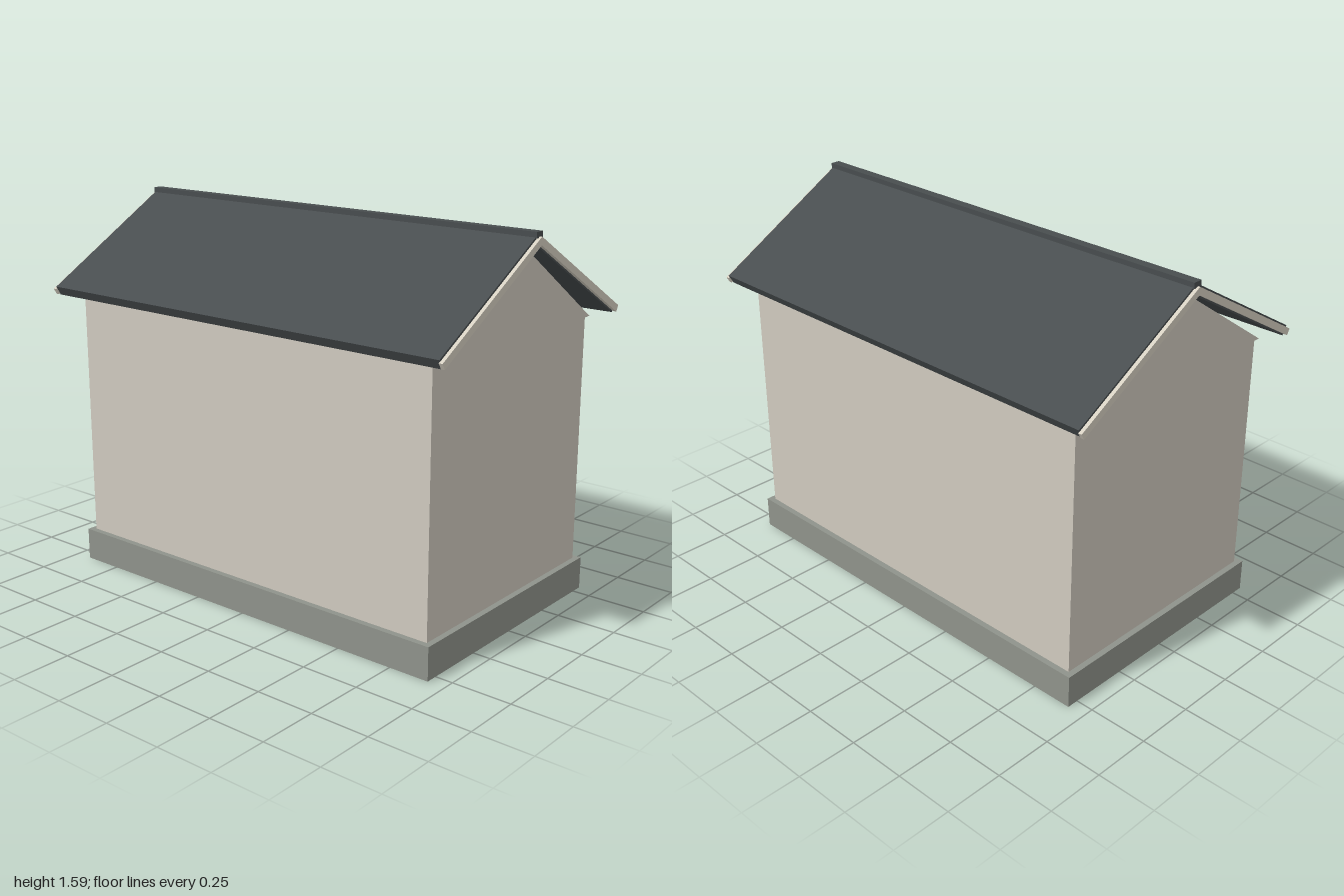
import * as THREE from 'three';

const mat = (color) => new THREE.MeshStandardMaterial({ color });

export function createModel() {
  const group = new THREE.Group();
  const wallMat = mat(0xd0cabf), plinthMat = mat(0x8f938b);
  const roofMat = mat(0x484d4f), trimMat = mat(0xd6d0c2);

  const add = (name, geometry, material, x = 0, y = 0, z = 0) => {
    const mesh = new THREE.Mesh(geometry, material);
    mesh.name = name;
    mesh.position.set(x, y, z);
    group.add(mesh);
    return mesh;
  };
  const box = (name, w, h, d, material, x, y, z) =>
    add(name, new THREE.BoxGeometry(w, h, d), material, x, y, z);

  // Base and walls
  box('plinth', 1.1, 0.137, 1.85, plinthMat, 0, 0.0685, 0);
  box('walls', 1.05, 1.046, 1.8, wallMat, 0, 0.657, 0);

  // Triangular gables, standing slightly proud of the end walls
  const triangle = new THREE.Shape([
    new THREE.Vector2(-0.525, 1.18),
    new THREE.Vector2(0.525, 1.18),
    new THREE.Vector2(0, 1.535),
  ]);
  const gable = new THREE.ExtrudeGeometry(triangle, { depth: 0.04, bevelEnabled: false });
  add('frontGable', gable, wallMat, 0, 0, 0.88);
  add('backGable', gable, wallMat, 0, 0, -0.92);

  // Sloping slab with a plumb cut at the ridge and a square cut at the eave
  const slope = Math.tan(Math.PI / 6);
  const slab = (side, top, bottom, eave, depth) => {
    const drop = top - bottom;
    const inset = drop * Math.cos(Math.PI / 6) * Math.sin(Math.PI / 6);
    const low = eave - inset;
    const points = [[0, top], [0, bottom], [low, bottom - low * slope], [eave, top - eave * slope]];
    const shape = new THREE.Shape(points.map(([x, y]) => new THREE.Vector2(side * x, y)));
    const geometry = new THREE.ExtrudeGeometry(shape, { depth, bevelEnabled: false });
    return geometry.translate(0, 0, -depth / 2);
  };

  // Roof panels and pale verge boards on both slopes
  for (const [side, label] of [[1, 'left'], [-1, 'right']]) {
    add(label + 'RoofPanel', slab(side, 1.582, 1.533, 0.608, 1.97), roofMat);
    const verge = slab(side, 1.573, 1.541, 0.61, 0.016);
    add(label + 'FrontVerge', verge, trimMat, 0, 0, 0.992);
    add(label + 'BackVerge', verge, trimMat, 0, 0, -0.992);
  }

  // Ridge cap
  box('ridgeCap', 0.04, 0.024, 1.98, roofMat, 0, 1.579, 0);

  return group;
}
